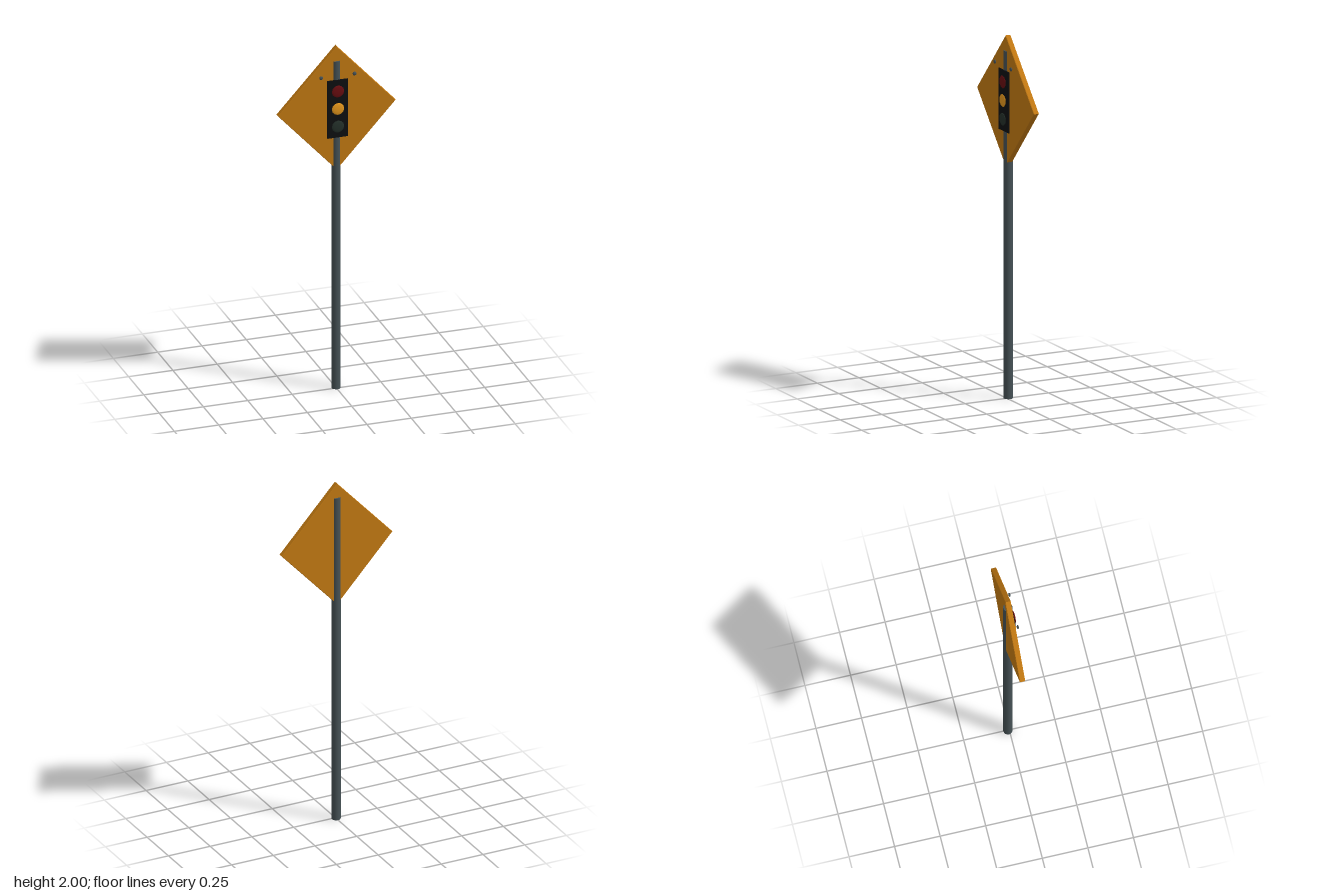
import * as THREE from 'three';

function material(name, color) {
  const m = new THREE.MeshStandardMaterial({ color });
  m.name = name;
  return m;
}

export function createModel() {
  const group = new THREE.Group();
  const steel = material('dark steel', 0x465256);
  const amber = material('sign amber', 0xc47a12);
  const black = material('housing black', 0x0e0f11);
  const red = material('red lens', 0x6a0d10);
  const yellow = material('yellow lens', 0xe8991c);
  const green = material('dark green lens', 0x24302a);

  function add(name, geometry, mat, x, y, z) {
    const mesh = new THREE.Mesh(geometry, mat);
    mesh.name = name;
    mesh.position.set(x, y, z);
    group.add(mesh);
    return mesh;
  }

  // Round post running up behind and through the board
  const postHeight = 1.915;
  add('post', new THREE.CylinderGeometry(0.025, 0.025, postHeight, 16), steel, 0, postHeight / 2, -0.008);

  // Diamond board with a tiny bevel
  const bevel = 0.003;
  const w = 0.332 - bevel, h = 0.36 - bevel;
  const diamond = new THREE.Shape([
    new THREE.Vector2(0, -h), new THREE.Vector2(w, 0),
    new THREE.Vector2(0, h), new THREE.Vector2(-w, 0),
  ]);
  const board = new THREE.ExtrudeGeometry(diamond, {
    depth: 0.03 - 2 * bevel, bevelEnabled: true,
    bevelThickness: bevel, bevelSize: bevel * 0.7, bevelSegments: 1,
  });
  add('diamondBoard', board, amber, 0, 1.64, -0.022 + bevel);

  // Signal housing plate
  add('signalPlate', new THREE.BoxGeometry(0.115, 0.335, 0.007), black, 0, 1.642, 0.0175);

  // Domed lenses and bolts: flattened spheres
  function dome(name, radius, depth, mat, x, y, z) {
    const geometry = new THREE.SphereGeometry(radius, 12, 8);
    geometry.rotateX(Math.PI / 2);
    geometry.scale(1, 1, depth / radius);
    add(name, geometry, mat, x, y, z);
  }
  [['redLens', red, 1.745], ['yellowLens', yellow, 1.643], ['greenLens', green, 1.54]]
    .forEach(([name, mat, y]) => dome(name, 0.035, 0.006, mat, 0, y, 0.026));
  for (const side of [-1, 1]) {
    dome(side > 0 ? 'leftBolt' : 'rightBolt', 0.011, 0.006, steel, side * 0.094, 1.836, 0.024);
  }

  return group;
}
